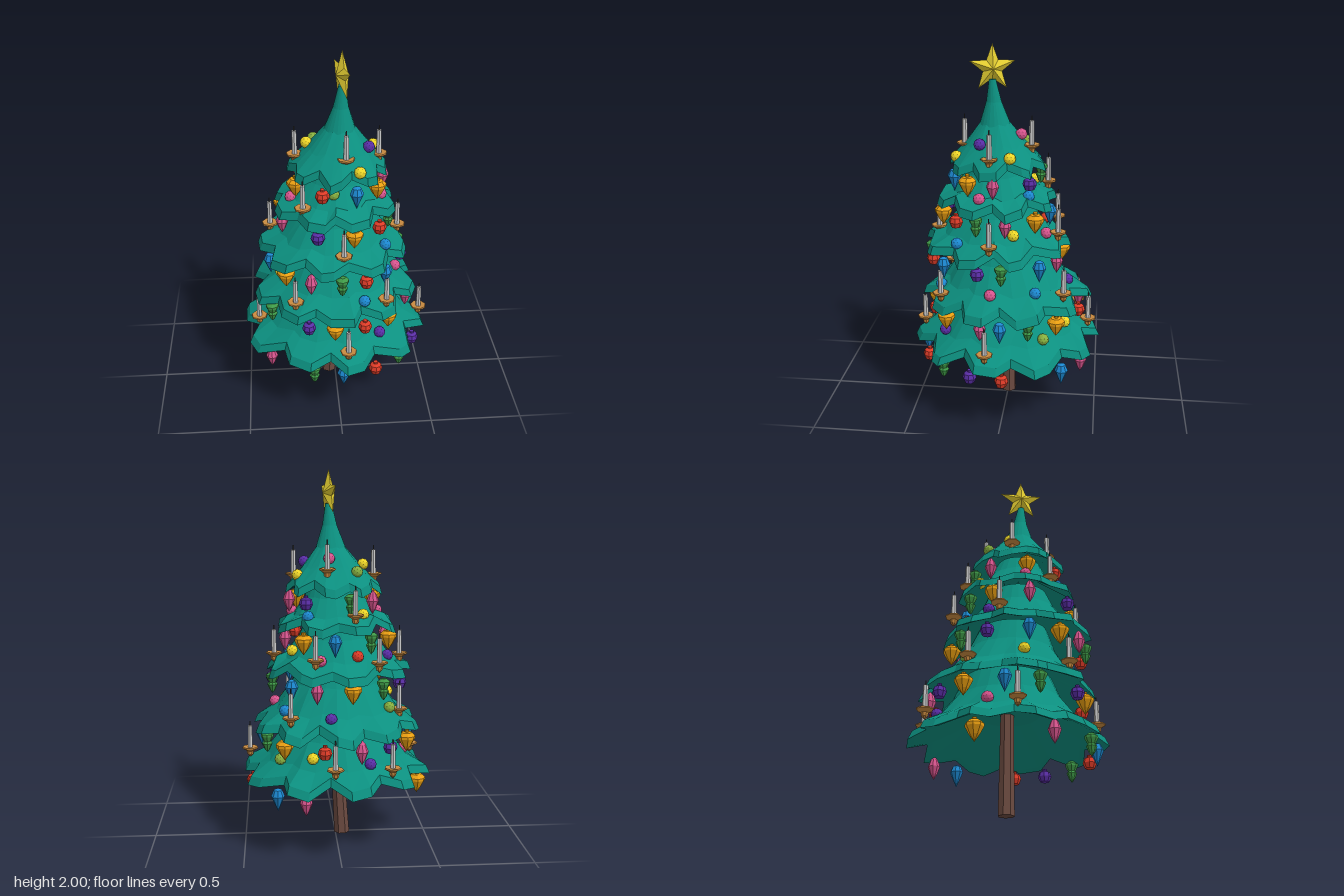
import * as THREE from 'three';

const mat = (color) => new THREE.MeshStandardMaterial({ color, flatShading: true });
const C = {
  red: 0xe03c28, yellow: 0xf0d828, purple: 0x5a2ea6, pink: 0xd9558f,
  blue: 0x1c88d0, green: 0x3f9a48, lime: 0x88b040, orange: 0xeba012,
};
const paint = {};
for (const k in C) paint[k] = mat(C[k]);
const leafMat = mat(0x0c9080), woodMat = mat(0x6b4a40), plateMat = mat(0xc88a40);
const candleMat = mat(0xcccccc), wickMat = mat(0x444444), starMat = mat(0xe6d032);

// Slopes: share of the height against share of the way from hem radius to top radius
const skirt = [[0, 0], [0.3, 0.45], [0.65, 0.8], [1, 1]];
const spire = [[0, 0], [0.28, 0.4], [0.5, 0.74], [0.75, 0.91], [1, 1]];

// Branch tiers: centre, hem height and radius, top height and radius, lean of the top, lobes, first notch angle
const tiers = [
  { cx: 0, cz: 0, y0: 0.372, R: 0.515, y1: 0.72, rTop: 0.24, dx: 0, dz: 0, n: 10, a0: 0.49, slope: skirt },
  { cx: -0.005, cz: 0, y0: 0.63, R: 0.46, y1: 1.0, rTop: 0.19, dx: 0, dz: 0.03, n: 10, a0: 0.35, slope: skirt },
  { cx: -0.01, cz: 0.06, y0: 0.92, R: 0.405, y1: 1.22, rTop: 0.16, dx: 0, dz: 0, n: 9, a0: 0.2, slope: skirt },
  { cx: -0.01, cz: 0.06, y0: 1.16, R: 0.33, y1: 1.42, rTop: 0.12, dx: 0.02, dz: 0, n: 8, a0: 0, slope: skirt },
  { cx: 0.01, cz: 0.05, y0: 1.36, R: 0.268, y1: 1.82, rTop: 0.018, dx: 0.02, dz: 0.025, n: 8, a0: 0.3, slope: spire },
];

function seeded(seed) {
  return () => ((seed = (seed * 16807) % 2147483647) / 2147483647);
}

// Radius of a tier at share f of its height
function tierRadius(t, f) {
  const i = t.slope.findIndex(([s]) => s >= f && s > 0);
  const [f0, v0] = t.slope[i - 1], [f1, v1] = t.slope[i];
  return THREE.MathUtils.lerp(t.R, t.rTop, THREE.MathUtils.mapLinear(f, f0, f1, v0, v1));
}

// Closed surface through equally long rings of points
function loft(rings) {
  const n = rings[0].length, pos = [], idx = [];
  rings.forEach((ring) => ring.forEach((p) => pos.push(...p)));
  for (let i = 0; i < rings.length - 1; i++) {
    for (let j = 0; j < n; j++) {
      const k = (j + 1) % n, a = i * n + j, b = i * n + k;
      idx.push(a, b, b + n, a, b + n, a + n);
    }
  }
  const g = new THREE.BufferGeometry();
  g.setAttribute('position', new THREE.Float32BufferAttribute(pos, 3));
  g.setIndex(idx);
  g.computeVertexNormals();
  return g;
}

// One hollow skirt with a lobed, thick hem: two tips and a notch per lobe
function tierGeometry(t, seed) {
  const rnd = seeded(seed), n = t.n * 3, h = t.y1 - t.y0;
  const hem = Array.from({ length: n }, (_, j) => {
    const notch = j % 3 === 0;
    return {
      a: t.a0 + ((j + (rnd() - 0.5) * 0.4) / n) * Math.PI * 2,
      k: (notch ? 0.85 : 0.985) + (rnd() - 0.5) * 0.07,
      dy: (notch ? 0.025 : -0.01) + (rnd() - 0.5) * 0.03,
    };
  });
  // w is how strongly a ring follows the lobes
  const ring = (r, f, w) => hem.map((p) => {
    const q = r * THREE.MathUtils.lerp(0.98, p.k, w);
    return [t.cx + t.dx * f + Math.sin(p.a) * q, t.y0 + h * f + p.dy * w, t.cz + t.dz * f + Math.cos(p.a) * q];
  });
  const ceiling = 0.16 / h;
  const rings = [
    ring(0.001, ceiling, 0),
    ring(t.rTop * 0.7, ceiling, 0),
    ring(t.R * 0.93, 0.012 / h, 1),
    ring(t.R, 0, 1),
    ring(t.R * 0.96, 0.045 / h, 1),
  ];
  t.slope.slice(1).forEach(([f]) => rings.push(ring(tierRadius(t, f), f, Math.max(0, 0.75 - f))));
  rings.push(ring(0.001, 1, 0));
  return loft(rings);
}

const lathe = (pts, sides = 8) =>
  new THREE.LatheGeometry(pts.map(([x, y]) => new THREE.Vector2(x, y)), sides);

// Hanging ornament shapes, matched to their colours
const spindle = lathe([[0, -0.065], [0.018, -0.035], [0.033, 0.005], [0.018, 0.045], [0, 0.065]]);
const bauble = lathe([[0, -0.035], [0.025, -0.028], [0.037, 0], [0.03, 0.024], [0.012, 0.034], [0.012, 0.044], [0, 0.044]]);
const ornaments = {
  orange: lathe([[0, -0.065], [0.026, -0.03], [0.046, 0.008], [0.046, 0.022], [0.028, 0.04], [0.012, 0.042], [0.012, 0.055], [0, 0.055]]),
  green: lathe([[0, -0.062], [0.014, -0.045], [0.028, -0.012], [0.02, 0], [0.034, 0.028], [0.034, 0.04], [0.015, 0.055], [0, 0.055]]),
  blue: lathe([[0, -0.07], [0.018, -0.03], [0.036, 0.012], [0.022, 0.045], [0, 0.055]]),
  pink: spindle,
  purple: bauble,
  red: bauble,
};
const ballGeo = new THREE.IcosahedronGeometry(0.031, 1);

// Angles in degrees from the front towards the model's left
const hanging = [
  'blue 2,red 25,green 47,purple 70,red 92,blue 135,pink 157,orange 257,pink 306,green 342',
  'orange 357,red 20,orange 42,pink 75,blue 90,green 111,orange 135,red 168,pink 195,purple 220,orange 245,blue 275,green 300,purple 337',
  'green 3,red 24,blue 45,purple 80,green 100,blue 135,pink 160,orange 190,green 220,purple 250,blue 285,orange 312,pink 337',
  'orange 17,red 50,green 75,pink 105,orange 140,blue 175,green 215,orange 250,pink 288,purple 340',
  'blue 20,orange 55,pink 90,purple 140,green 200,pink 240,orange 290,red 337',
];

// Round balls resting on the branches: colour, tier, angle, height
const balls = [
  ['purple', 0, 35, 0.49], ['lime', 0, 126, 0.5], ['yellow', 0, 157, 0.53], ['purple', 0, 205, 0.5], ['pink', 0, 262, 0.5],
  ['blue', 1, 22, 0.72], ['pink', 1, 82, 0.75], ['yellow', 1, 290, 0.78], ['blue', 1, 123, 0.75], ['purple', 1, 172, 0.74], ['lime', 1, 235, 0.76],
  ['blue', 2, 55, 1.0], ['yellow', 2, 115, 1.05], ['pink', 2, 160, 1.02], ['purple', 2, 245, 1.02], ['red', 2, 200, 1.04],
  ['pink', 3, 75, 1.24], ['pink', 3, 285, 1.24], ['blue', 3, 140, 1.24], ['lime', 3, 352, 1.31], ['yellow', 3, 215, 1.25],
  ['yellow', 4, 25, 1.43], ['purple', 4, 65, 1.51], ['yellow', 4, 115, 1.45], ['pink', 4, 172, 1.54], ['lime', 4, 220, 1.47], ['yellow', 4, 260, 1.5],
];

// Candles: x, plate height, z
const candles = [
  [-0.43, 0.47, 0.1], [0.47, 0.47, 0.07], [0.04, 0.47, 0.46], [-0.27, 0.48, -0.38], [0.03, 0.5, -0.45],
  [-0.23, 0.72, 0.34], [0.25, 0.71, 0.33], [0.25, 0.74, -0.32], [-0.33, 0.74, -0.16],
  [-0.35, 1.01, 0], [0.33, 1.01, 0.06], [0.02, 1.01, 0.37], [0.12, 1.03, -0.28], [-0.21, 1.01, -0.26],
  [-0.18, 1.23, 0.25], [-0.09, 1.25, -0.21],
  [0.04, 1.48, 0.22], [0.22, 1.44, 0.07], [-0.21, 1.44, 0.05], [0.05, 1.48, -0.13],
];
const plateGeo = lathe([[0, -0.045], [0.016, -0.03], [0.02, -0.01], [0.045, 0.006], [0.043, 0.013], [0, 0.008]], 7);
const stickGeo = new THREE.CylinderGeometry(0.013, 0.015, 0.13, 6).translate(0, 0.07, 0);
const wickGeo = new THREE.CylinderGeometry(0.003, 0.004, 0.03, 5).translate(0, 0.145, 0);

// Five-pointed star, raised in the middle on both faces
function starGeometry(outer, inner, depth) {
  const pos = [];
  const rim = (i) => {
    const a = (i / 10) * Math.PI * 2, r = i % 2 ? inner : outer;
    return [Math.sin(a) * r, Math.cos(a) * r, 0];
  };
  for (let i = 0; i < 10; i++) {
    pos.push(0, 0, depth, ...rim(i + 1), ...rim(i));
    pos.push(0, 0, -depth, ...rim(i), ...rim(i + 1));
  }
  const g = new THREE.BufferGeometry();
  g.setAttribute('position', new THREE.Float32BufferAttribute(pos, 3));
  g.computeVertexNormals();
  return g;
}

export function createModel() {
  const tree = new THREE.Group();
  tree.name = 'christmasTree';
  const add = (name, geo, material, x = 0, y = 0, z = 0, parent = tree) => {
    const m = new THREE.Mesh(geo, material);
    m.name = name;
    m.position.set(x, y, z);
    parent.add(m);
    return m;
  };

  // Slightly leaning trunk
  const trunkRings = [[0.001, 0], [0.043, 0], [0.038, 0.3], [0.035, 0.62]].map(([r, y]) =>
    Array.from({ length: 7 }, (_, j) => {
      const a = (j / 7) * Math.PI * 2;
      return [-0.036 + y * 0.06 + Math.sin(a) * r, y, -0.003 + Math.cos(a) * r];
    }));
  add('trunk', loft(trunkRings), woodMat);

  tiers.forEach((t, i) => {
    add('branchTier' + (i + 1), tierGeometry(t, 1234 + i * 777), leafMat);
    // Ornaments under the hem
    hanging[i].split(',').forEach((s) => {
      const [kind, deg] = s.split(' '), a = THREE.MathUtils.degToRad(+deg), r = t.R * 0.88;
      add(kind + 'Ornament', ornaments[kind], paint[kind],
        t.cx + Math.sin(a) * r, t.y0 - 0.052, t.cz + Math.cos(a) * r);
    });
  });

  balls.forEach(([color, i, deg, y]) => {
    const t = tiers[i], a = THREE.MathUtils.degToRad(deg), f = (y - t.y0) / (t.y1 - t.y0);
    const r = tierRadius(t, f) * 0.97 + 0.015;
    add(color + 'Ball', ballGeo, paint[color], t.cx + t.dx * f + Math.sin(a) * r, y, t.cz + t.dz * f + Math.cos(a) * r);
  });

  candles.forEach(([x, y, z]) => {
    const g = new THREE.Group();
    g.name = 'candle';
    g.position.set(x, y, z);
    add('candlePlate', plateGeo, plateMat, 0, 0, 0, g);
    add('candleStick', stickGeo, candleMat, 0, 0, 0, g);
    add('candleWick', wickGeo, wickMat, 0, 0, 0, g);
    tree.add(g);
  });

  add('topStar', starGeometry(0.125, 0.052, 0.034), starMat, 0.03, 1.875, 0.075).rotation.y = -1.31;
  return tree;
}
